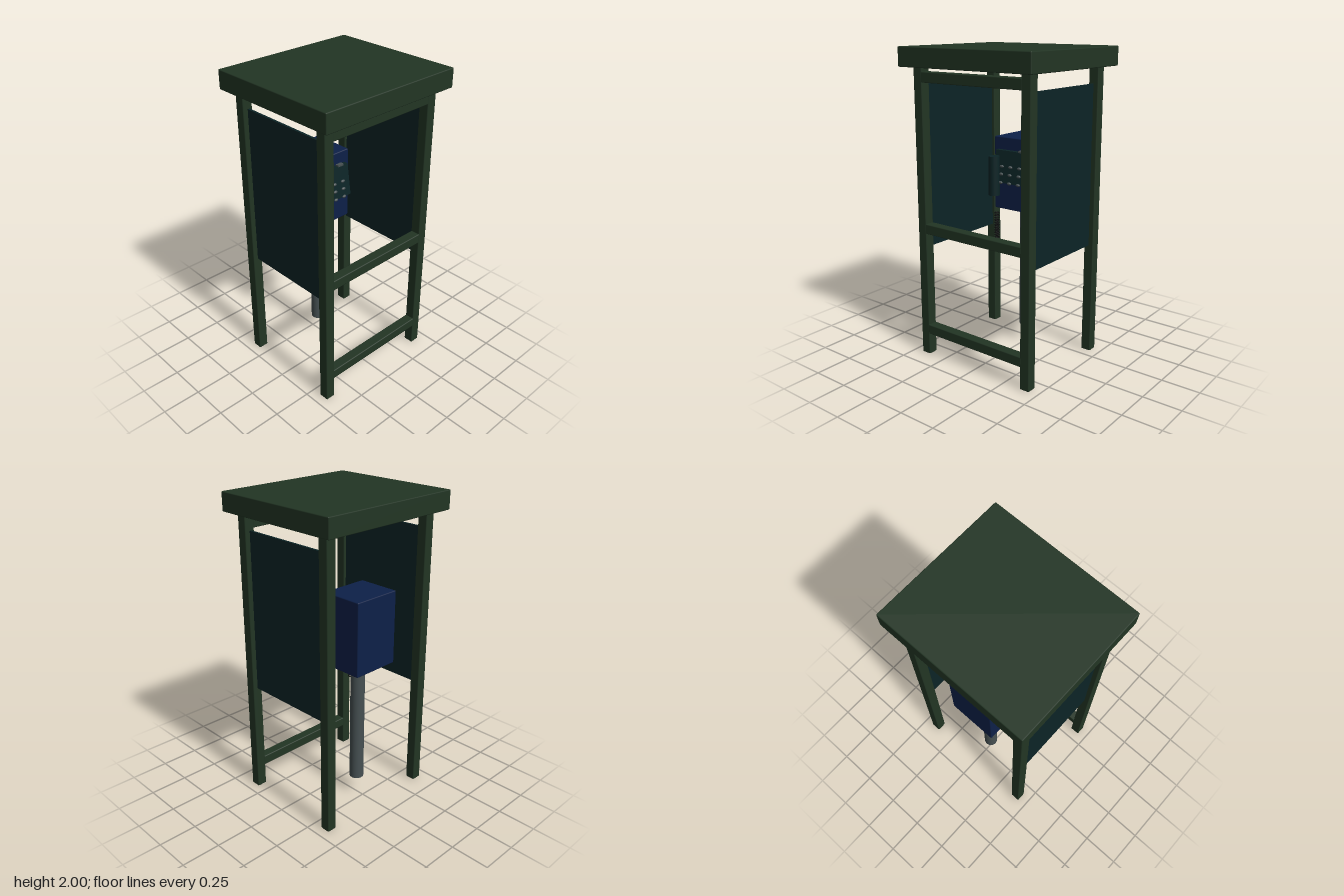
import * as THREE from 'three';
import { RoundedBoxGeometry } from 'three/addons/geometries/RoundedBoxGeometry.js';

const paint = (name, color) => {
  const m = new THREE.MeshStandardMaterial({ color });
  m.name = name;
  return m;
};

export function createModel() {
  const green = paint('dark green', 0x223524);
  const teal = paint('dark teal', 0x0c2426);
  const blue = paint('navy blue', 0x0d2048);
  const grey = paint('steel grey', 0x465052);
  const black = paint('cord black', 0x0b0d0d);
  const root = new THREE.Group();
  root.name = 'phoneBooth';

  const add = (name, geometry, material, x, y, z, parent = root) => {
    const mesh = new THREE.Mesh(geometry, material);
    mesh.name = name;
    mesh.position.set(x, y, z);
    parent.add(mesh);
    return mesh;
  };
  const block = (w, h, d) => new RoundedBoxGeometry(w, h, d, 1, 0.006);

  // Roof slab
  add('roof', block(0.99, 0.12, 0.9), green, 0, 1.94, 0);

  // Corner posts and side panels
  for (const x of [-1, 1]) {
    for (const z of [-1, 1]) {
      add(z > 0 ? 'frontPost' : 'backPost', block(0.066, 1.885, 0.066), green, x * 0.407, 0.9425, z * 0.345);
    }
    add('sidePanel', new THREE.BoxGeometry(0.015, 1.035, 0.63), teal, x * 0.4, 1.2575, 0);
  }

  // Front rails
  for (const y of [0.178, 0.868, 1.82]) {
    add('frontRail', block(0.76, 0.065, 0.066), green, 0, y, 0.345);
  }

  // Pole and phone housing
  add('pole', new THREE.CylinderGeometry(0.046, 0.046, 0.84, 24), grey, 0, 0.55, -0.19);
  add('phoneHousing', block(0.325, 0.475, 0.28), blue, -0.0025, 1.1925, -0.2);

  // Sloping keypad console, extruded sideways from its side profile
  const profile = new THREE.Shape([[0.065, 1.145], [0, 1.145], [0.03, 1.35], [0.065, 1.35]]
    .map(([a, b]) => new THREE.Vector2(a, b)));
  const consoleGeo = new THREE.ExtrudeGeometry(profile, { depth: 0.255, bevelEnabled: false });
  consoleGeo.rotateY(Math.PI / 2); // shape x becomes -z, depth becomes +x
  add('keypadConsole', consoleGeo, teal, -0.13, 0, 0);

  // Keys and coin slot
  const keys = new THREE.Group();
  keys.name = 'keypad';
  root.add(keys);
  const keyGeo = new THREE.SphereGeometry(0.016, 12, 8);
  [1.25, 1.2, 1.147].forEach((y, row) => {
    for (const x of [-0.07, -0.002, 0.068]) {
      add('key', keyGeo, grey, x, y, -0.013 + row * 0.0065, keys).scale.set(1, 0.6, 0.6);
    }
  });
  add('coinSlot', new THREE.BoxGeometry(0.045, 0.012, 0.025), grey, 0.068, 1.353, -0.042);

  // Handset with its coiled cord
  add('handset', new THREE.CylinderGeometry(0.036, 0.036, 0.255, 16), teal, -0.115, 1.1875, 0.01);
  const ring = new THREE.TorusGeometry(0.014, 0.004, 6, 14);
  ring.rotateX(Math.PI / 2);
  for (let i = 0; i < 11; i++) {
    add('cordCoil', ring, black, -0.113, 0.769 + i * 0.0167, -0.015);
  }
  return root;
}
